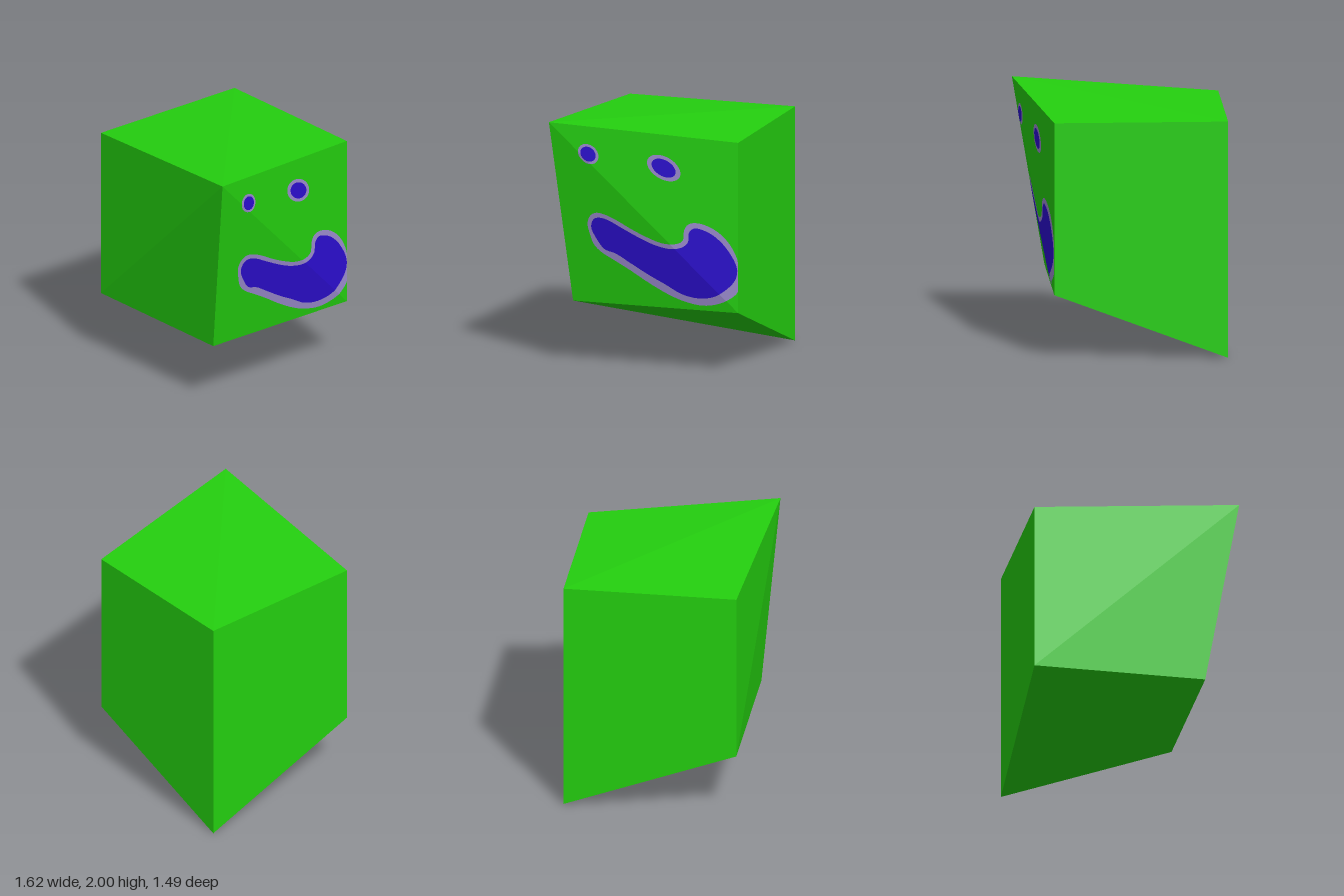
import * as THREE from 'three';
import { ConvexGeometry } from 'three/addons/geometries/ConvexGeometry.js';

const green = new THREE.MeshStandardMaterial({ name: 'green', color: 0x24cf0f });
const blue = new THREE.MeshStandardMaterial({ name: 'blue', color: 0x2c0ed0 });
const lilac = new THREE.MeshStandardMaterial({ name: 'lilac', color: 0x9c8ccf });

// The painted side is folded along a diagonal: u = -z runs to the right, v = y runs up
const BACK = 0.745, LOW = 0.515;
const foldU = (u) => (BACK - u) / 1.49;
const foldV = (v) => (v - LOW) / 1.485;
const sideX = (u, v) => 0.56 + 0.25 * Math.min(foldU(u), foldV(v));

// Keep the part of an outline on one side of the fold
function clip(points, sign) {
  const dist = (p) => sign * (foldV(p.y) - foldU(p.x));
  const out = [];
  points.forEach((p, i) => {
    const q = points[(i + 1) % points.length];
    const a = dist(p), b = dist(q);
    if (a >= 0) out.push(p);
    if (a * b < 0) out.push(p.clone().lerp(q, a / (a - b)));
  });
  return out;
}

// Thin painted patch that follows the folded side
function paint(name, points, material, lift) {
  const group = new THREE.Group();
  group.name = name;
  for (const sign of [1, -1]) {
    const half = clip(points, sign);
    if (half.length < 3) continue;
    const geometry = new THREE.ShapeGeometry(new THREE.Shape(half));
    const pos = geometry.attributes.position;
    for (let i = 0; i < pos.count; i++) {
      const u = pos.getX(i), v = pos.getY(i);
      pos.setXYZ(i, sideX(u, v) + lift, v, -u);
    }
    geometry.computeVertexNormals();
    const mesh = new THREE.Mesh(geometry, material);
    mesh.name = name + (sign > 0 ? 'Upper' : 'Lower');
    group.add(mesh);
  }
  return group;
}

// Smooth closed outline, trimmed at the back edge
function outline(pairs) {
  const pts = pairs.map(([u, v]) => new THREE.Vector3(u, v, 0));
  return new THREE.CatmullRomCurve3(pts, true).getPoints(120).slice(0, -1)
    .map((p) => new THREE.Vector2(Math.min(p.x, BACK), p.y));
}

function ellipse(u, v, a, b, tilt) {
  return new THREE.EllipseCurve(u, v, a, b, 0, Math.PI * 2, false, tilt).getPoints(36).slice(0, -1);
}

export function createModel() {
  const model = new THREE.Group();
  model.name = 'lopsidedCube';

  // Cube with one top and one bottom corner pulled outwards
  const corners = [
    [0.81, 2, 0.745], [-0.81, 1.89, 0.63], [0.56, 1.89, -0.745], [-0.81, 1.89, -0.745],
    [0.56, 0.515, 0.63], [-0.81, 0.515, 0.63], [0.56, 0.515, -0.745], [-0.81, 0, -0.745],
  ].map((c) => new THREE.Vector3(...c));
  const body = new THREE.Mesh(new ConvexGeometry(corners), green);
  body.name = 'body';
  model.add(body);

  // Mouth: pale border below, blue fill above
  const border = outline([
    [-0.47, 1.18], [-0.44, 1.245], [-0.39, 1.27], [-0.31, 1.255], [-0.21, 1.21], [-0.11, 1.155],
    [0.02, 1.095], [0.14, 1.055], [0.26, 1.055], [0.31, 1.085], [0.32, 1.165], [0.35, 1.215],
    [0.41, 1.23], [0.5, 1.21], [0.59, 1.16], [0.67, 1.08], [0.72, 0.995], [0.745, 0.92],
    [0.745, 0.69], [0.67, 0.62], [0.58, 0.578], [0.455, 0.556], [0.31, 0.578], [0.18, 0.625],
    [0.02, 0.71], [-0.14, 0.81], [-0.27, 0.885], [-0.365, 0.94], [-0.425, 1], [-0.455, 1.085],
  ]);
  const fill = outline([
    [-0.44, 1.145], [-0.42, 1.21], [-0.38, 1.23], [-0.31, 1.22], [-0.19, 1.16], [-0.03, 1.08],
    [0.1, 1.03], [0.21, 1.012], [0.3, 1.028], [0.35, 1.07], [0.36, 1.15], [0.4, 1.187],
    [0.455, 1.18], [0.535, 1.145], [0.62, 1.075], [0.685, 0.99], [0.725, 0.915], [0.74, 0.853],
    [0.72, 0.775], [0.645, 0.695], [0.55, 0.636], [0.42, 0.615], [0.285, 0.64], [0.155, 0.71],
    [0.02, 0.78], [-0.14, 0.875], [-0.245, 0.938], [-0.34, 0.97], [-0.4, 1.05],
  ]);
  model.add(paint('mouthBorder', border, lilac, 0.003), paint('mouth', fill, blue, 0.006));

  // Eyes: u, v, border radii, fill radii, tilt
  const eyes = [
    ['smallEye', -0.435, 1.755, 0.09, 0.072, 0.066, 0.054, -Math.PI / 4],
    ['largeEye', 0.16, 1.665, 0.143, 0.09, 0.103, 0.064, -Math.PI / 6],
  ];
  for (const [name, u, v, a, b, c, d, tilt] of eyes) {
    model.add(paint(name + 'Border', ellipse(u, v, a, b, tilt), lilac, 0.003));
    model.add(paint(name, ellipse(u, v, c, d, tilt), blue, 0.006));
  }
  return model;
}
